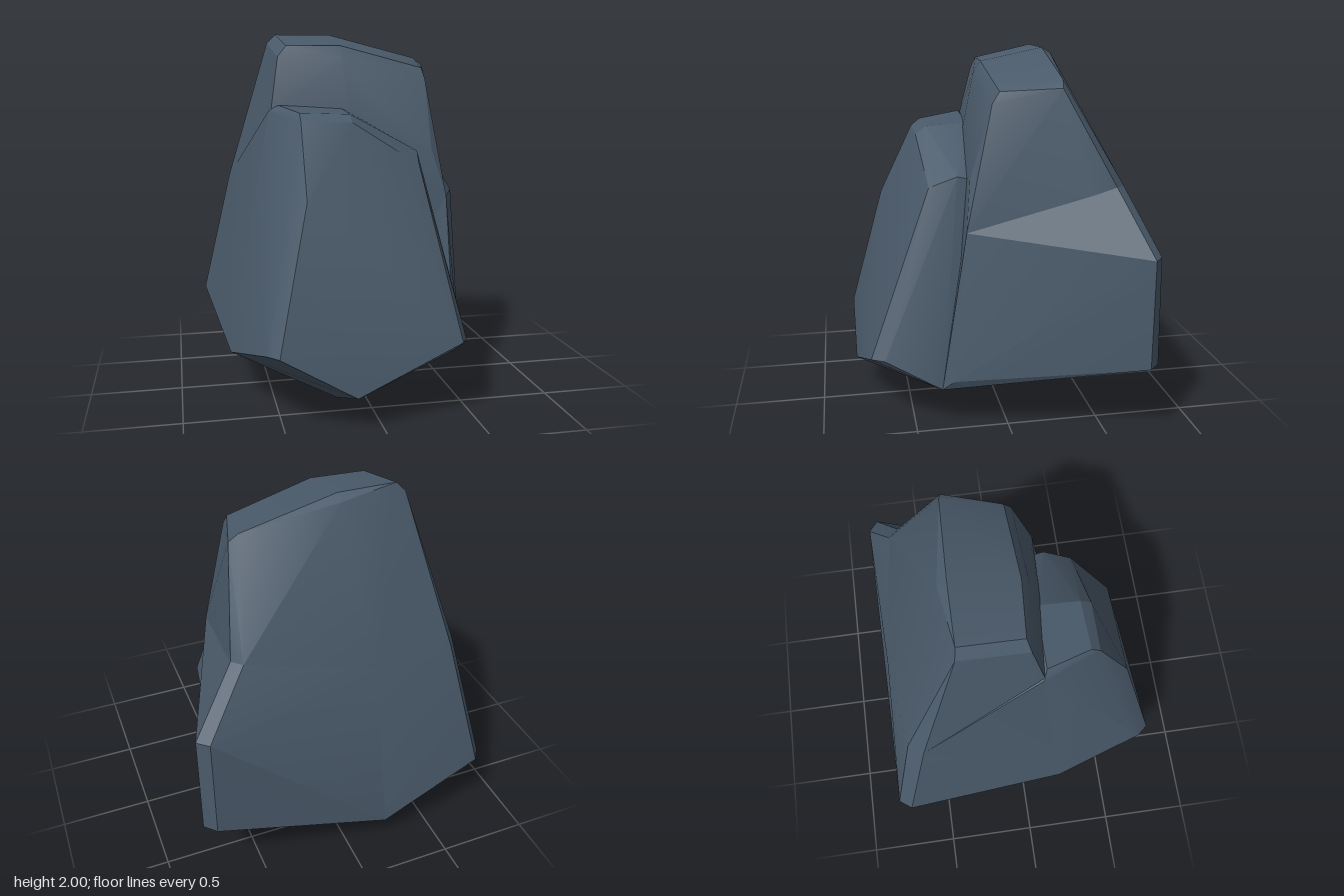
import * as THREE from 'three';
import { ConvexGeometry } from 'three/addons/geometries/ConvexGeometry.js';
import { toCreasedNormals } from 'three/addons/utils/BufferGeometryUtils.js';

const stone = new THREE.MeshStandardMaterial({ color: 0x4a5a6a });
stone.name = 'slate stone';

// One chipped block of stone, the hull of its corners
function block(name, ...corners) {
  const points = corners.flat().map((c) => new THREE.Vector3(...c));
  const mesh = new THREE.Mesh(toCreasedNormals(new ConvexGeometry(points), 0.4), stone);
  mesh.name = name;
  return mesh;
}

// Corners that neighbouring blocks share
const foot = [[-0.16, 0, 0.32]];
const leftFoot = [[-0.73, 0.27, 0.22]];
const rightFoot = [[0.51, 0.24, 0.36]];
const backFoot = [[-0.2, 0.17, -0.81], [-0.2, 0.14, -0.74]];
const leftRidge = [[-0.83, 0.41, -0.71], [-0.67, 1.15, -0.55]];
const rightNotch = [[0.58, 1.33, -0.55], [0.53, 1.33, -0.6], [0.49, 1.1, 0.22]];

export function createModel() {
  const group = new THREE.Group();
  group.name = 'rock';

  // Tall peak with the sloping back and left flank
  group.add(block('peak', foot, leftFoot, backFoot, leftRidge, rightNotch, [
    // sloping crown
    [-0.4, 2, -0.3], [-0.08, 2, -0.3], [-0.08, 1.97, -0.35], [0.43, 1.87, -0.29], [0.48, 1.83, -0.28],
    [-0.45, 1.95, -0.31],
    [-0.38, 1.93, 0.03], [-0.08, 1.93, 0.05], [0.39, 1.81, 0.03],
    // front wall
    [-0.43, 1.87, 0.05], [-0.08, 1.87, 0.09], [0.4, 1.75, 0.07],
    [-0.48, 1.57, 0.12], [-0.05, 1.55, 0.16], [0.41, 1.36, 0.19],
    // back bevel and buried lower right
    [-0.78, 0.41, -0.78], [-0.62, 1.15, -0.63], [-0.15, 1.18, -0.69],
    [0.7, 0.5, -0.66], [0.5, 0.4, 0.26],
  ]));

  // Lower shoulder jutting out on one side
  group.add(block('sideShoulder', foot, rightFoot, backFoot, rightNotch, [
    [0.82, 1, -0.69], [0.76, 1, -0.74], [0.82, 0.41, -0.69], [0.76, 0.41, -0.75],
    [0.55, 0.3, 0.3], [-0.15, 1.18, -0.69],
  ]));

  // Stepped slab leaning on the front
  group.add(block('frontStep', foot, leftFoot, rightFoot, leftRidge, [
    // bevelled lower edge
    [-0.53, 0.41, 0.8], [-0.58, 0.41, 0.74], [-0.14, 0.18, 0.8],
    [0.43, 0.41, 0.73], [0.47, 0.41, 0.66],
    // front face and ledge
    [-0.36, 1.15, 0.61], [-0.36, 1.54, 0.42], [-0.09, 1.53, 0.42], [0.28, 1.3, 0.39],
    [-0.36, 1.58, 0.37], [-0.09, 1.57, 0.36], [0.31, 1.36, 0.24],
    [-0.49, 1.58, 0.11], [-0.44, 1.61, 0.13], [-0.09, 1.59, 0.13],
    // buried rear
    [0.3, 1.3, 0], [0.3, 0.5, -0.2],
  ]));

  return group;
}
